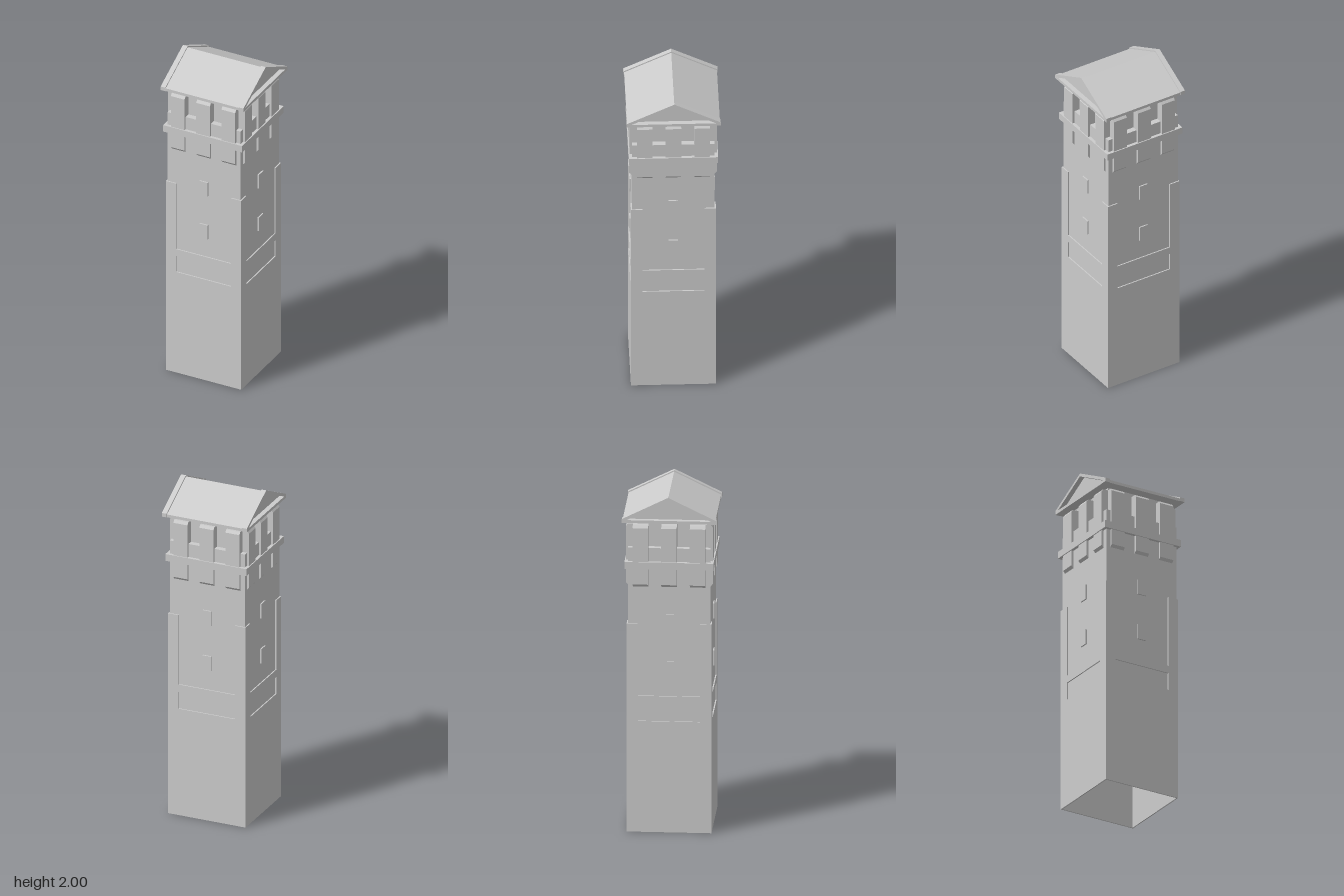
import * as THREE from 'three';

const mat = new THREE.MeshStandardMaterial({ color: 0xcccccc, flatShading: true, side: THREE.DoubleSide });

const CORE = 0.234;  // half width of the shaft
const SKIN = 0.241;  // half width of the raised lower facing

function add(parent, name, geometry, x = 0, y = 0, z = 0) {
  const mesh = new THREE.Mesh(geometry, mat);
  mesh.name = name;
  mesh.position.set(x, y, z);
  parent.add(mesh);
  return mesh;
}

// Box placed by its bottom and top heights
function slab(parent, name, w, d, y0, y1, x = 0, z = 0) {
  return add(parent, name, new THREE.BoxGeometry(w, y1 - y0, d), x, (y0 + y1) / 2, z);
}

const shapeOf = (pts) => new THREE.Shape(pts.map(([x, y]) => new THREE.Vector2(x, y)));

// Extrudes a (z, y) profile along x, centred on x = 0
function prism(pts, length, hole) {
  const shape = shapeOf(pts);
  if (hole) shape.holes.push(shapeOf(hole));
  const geo = new THREE.ExtrudeGeometry(shape, { depth: length, bevelEnabled: false });
  return geo.rotateY(-Math.PI / 2).translate(length / 2, 0, 0);
}

// One face of the tower, built facing +z
function createSide() {
  const side = new THREE.Group();
  side.name = 'towerSide';

  // Raised facing: plain base, sunk panel, string course and two corner pilasters
  const facing = shapeOf([[-SKIN, 0], [SKIN, 0], [SKIN, 1.24], [0.176, 1.24],
    [0.176, 0.81], [-0.176, 0.81], [-0.176, 1.24], [-SKIN, 1.24]]);
  facing.holes.push(shapeOf([[-0.176, 0.66], [-0.176, 0.765], [0.176, 0.765], [0.176, 0.66]]));
  add(side, 'wallFacing', new THREE.ExtrudeGeometry(facing, { depth: SKIN - CORE, bevelEnabled: false }), 0, 0, CORE);

  // Window blocks
  for (const y of [0.93, 1.21]) slab(side, 'window', 0.054, 0.02, y, y + 0.09, 0, CORE - 0.002);

  // Corbels below the ledge and merlons above it, with chamfered ends
  const corbel = [[0.22, 1.46], [0.234, 1.46], [0.247, 1.475], [0.247, 1.58], [0.22, 1.58]];
  const merlon = [[0.198, 1.6], [0.247, 1.6], [0.247, 1.81], [0.236, 1.825], [0.198, 1.825]];
  for (const x of [-0.162, 0, 0.162]) {
    add(side, 'corbel', prism(corbel, 0.088), x);
    add(side, 'merlon', prism(merlon, 0.088), x);
  }
  return side;
}

function createRoof() {
  const roof = new THREE.Group();
  roof.name = 'roof';
  const ridge = -0.004;

  // Solid roof between the gables
  add(roof, 'roofBody', prism([[-0.263, 1.845], [0.263, 1.845], [0.263, 1.862],
    [ridge, 1.993], [-0.263, 1.862]], 0.472));

  // Slightly raised gable frames overhanging both ends
  const outer = [[-0.267, 1.845], [0.267, 1.845], [0.267, 1.868], [ridge, 2], [-0.267, 1.868]];
  const inner = [[-0.24, 1.862], [ridge, 1.982], [0.24, 1.862]];
  for (const s of [-1, 1]) add(roof, 'gableFrame', prism(outer, 0.03, inner), s * 0.25);
  return roof;
}

export function createModel() {
  const model = new THREE.Group();
  model.name = 'tower';

  const body = new THREE.Group();
  body.name = 'towerBody';
  body.position.x = -0.004;
  model.add(body);

  // Hollow square shaft, open at the bottom
  const shaft = new THREE.CylinderGeometry(CORE * Math.SQRT2, CORE * Math.SQRT2, 1.5, 4, 1, true, Math.PI / 4);
  add(body, 'shaft', shaft, 0, 0.75, 0);

  // Parapet, ledge and the narrower neck under the roof
  slab(body, 'parapet', CORE * 2, CORE * 2, 1.5, 1.69);
  slab(body, 'ledge', 0.506, 0.506, 1.568, 1.61);
  slab(body, 'neck', 0.4, 0.4, 1.69, 1.85);

  for (let i = 0; i < 4; i++) {
    const side = createSide();
    side.rotation.y = i * Math.PI / 2;
    body.add(side);
  }

  model.add(createRoof());
  return model;
}
